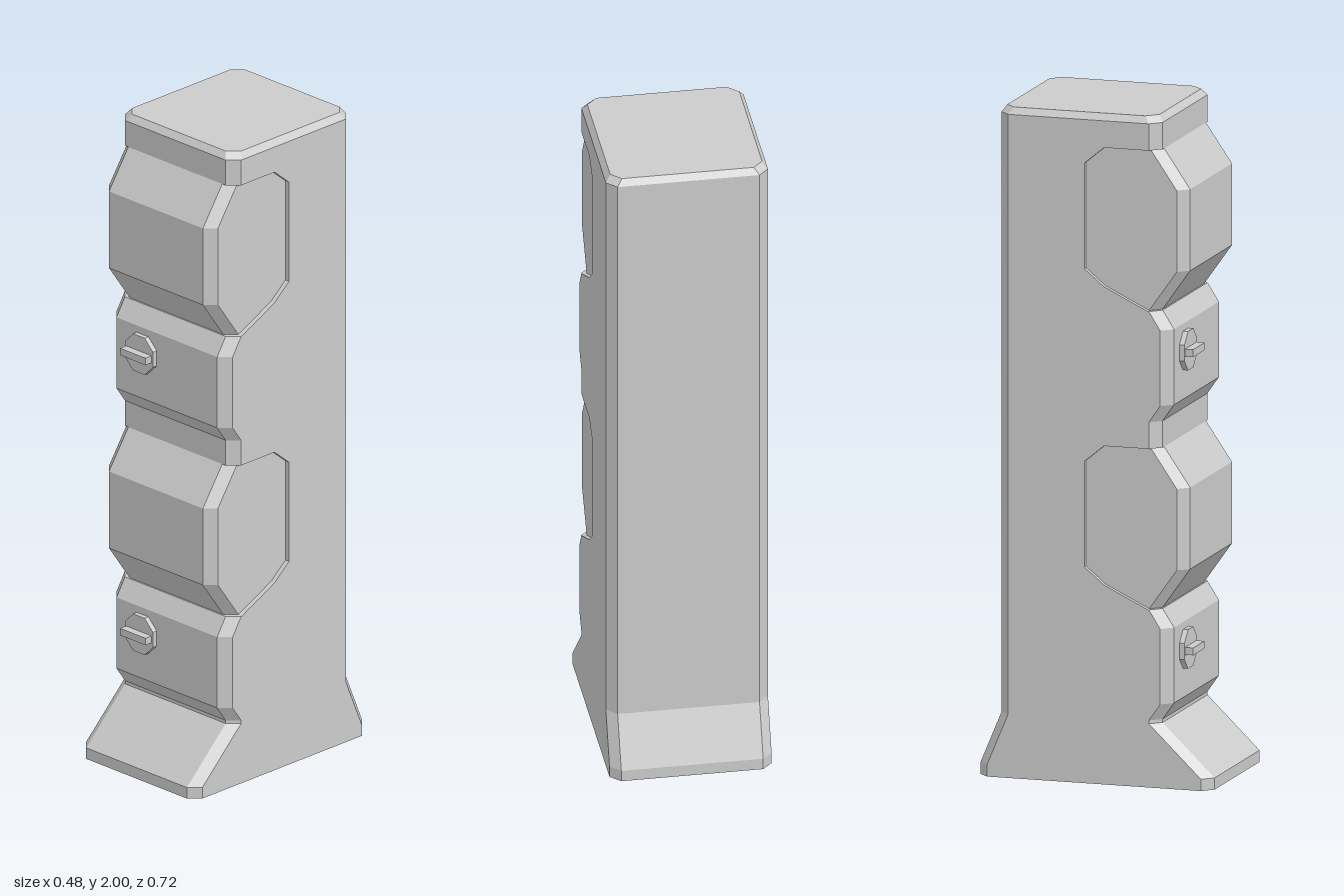
import * as THREE from 'three';

const BACK = -0.295;

// Stacks chamfered rectangles. Level: [y, frontZ, backZ, frontChamfer, backChamfer, halfWidth]
function loft(levels) {
  const pos = [], idx = [];
  for (const [y, f, b, cf, cb, w] of levels) {
    const ring = [[w, f - cf], [w, b + cb], [w - cb, b], [cb - w, b],
      [-w, b + cb], [-w, f - cf], [cf - w, f], [w - cf, f]];
    for (const [x, z] of ring) pos.push(x, y, z);
  }
  const last = (levels.length - 1) * 8;
  for (let k = 0; k < last; k += 8) {
    for (let i = 0; i < 8; i++) {
      const j = (i + 1) % 8;
      idx.push(k + i, k + j, k + 8 + j, k + i, k + 8 + j, k + 8 + i);
    }
  }
  for (let i = 1; i < 7; i++) {
    idx.push(0, i + 1, i, last, last + i, last + i + 1);
  }
  const geo = new THREE.BufferGeometry();
  geo.setAttribute('position', new THREE.Float32BufferAttribute(pos, 3));
  geo.setIndex(idx);
  const flat = geo.toNonIndexed();
  flat.computeVertexNormals();
  return flat;
}

export function createModel() {
  const group = new THREE.Group();
  const material = new THREE.MeshStandardMaterial({ color: 0xcccccc, flatShading: true });
  const add = (name, geo, x = 0, y = 0, z = 0) => {
    const mesh = new THREE.Mesh(geo, material);
    mesh.name = name;
    mesh.position.set(x, y, z);
    group.add(mesh);
    return mesh;
  };
  const full = (y, f, b = BACK) => [y, f, b, 0.032, 0.03, 0.24];
  const cut = (y, f) => [y, f, BACK, 0, 0.03, 0.24];

  // Column: flared foot, then two tiers of panel and drum recess, then bevelled cap
  const column = [full(0, 0.36, -0.36), full(0.035, 0.36, -0.36), full(0.19, 0.2)];
  const tiers = [0, 0.89];
  for (const t of tiers) {
    column.push(
      full(t + 0.2, 0.2), full(t + 0.25, 0.235), full(t + 0.475, 0.235), full(t + 0.53, 0.2),
      cut(t + 0.53, 0.165), cut(t + 0.595, 0.03), cut(t + 0.645, -0.03),
      cut(t + 0.96, -0.03), cut(t + 1.01, 0.03), full(t + 1.01, 0.2));
  }
  column.push(full(1.98, 0.2), [2, 0.185, -0.282, 0.032, 0.03, 0.225]);
  add('column', loft(column));

  for (const t of tiers) {
    // Faceted drum seated in the recess
    const drum = (y, f) => [t + y, f, -0.1, 0.031, 0, 0.225];
    add('drum', loft([drum(0.53, 0.195), drum(0.65, 0.28), drum(0.893, 0.28), drum(1.01, 0.2)]));

    // Eight-sided knob with a grip bar
    const disc = new THREE.CylinderGeometry(0.063, 0.063, 0.025, 8);
    disc.rotateY(Math.PI / 8);
    disc.rotateX(Math.PI / 2);
    add('knob', disc, -0.1, t + 0.395, 0.238);
    add('knobGrip', new THREE.BoxGeometry(0.105, 0.022, 0.035), -0.1, t + 0.395, 0.258);
  }
  return group;
}
